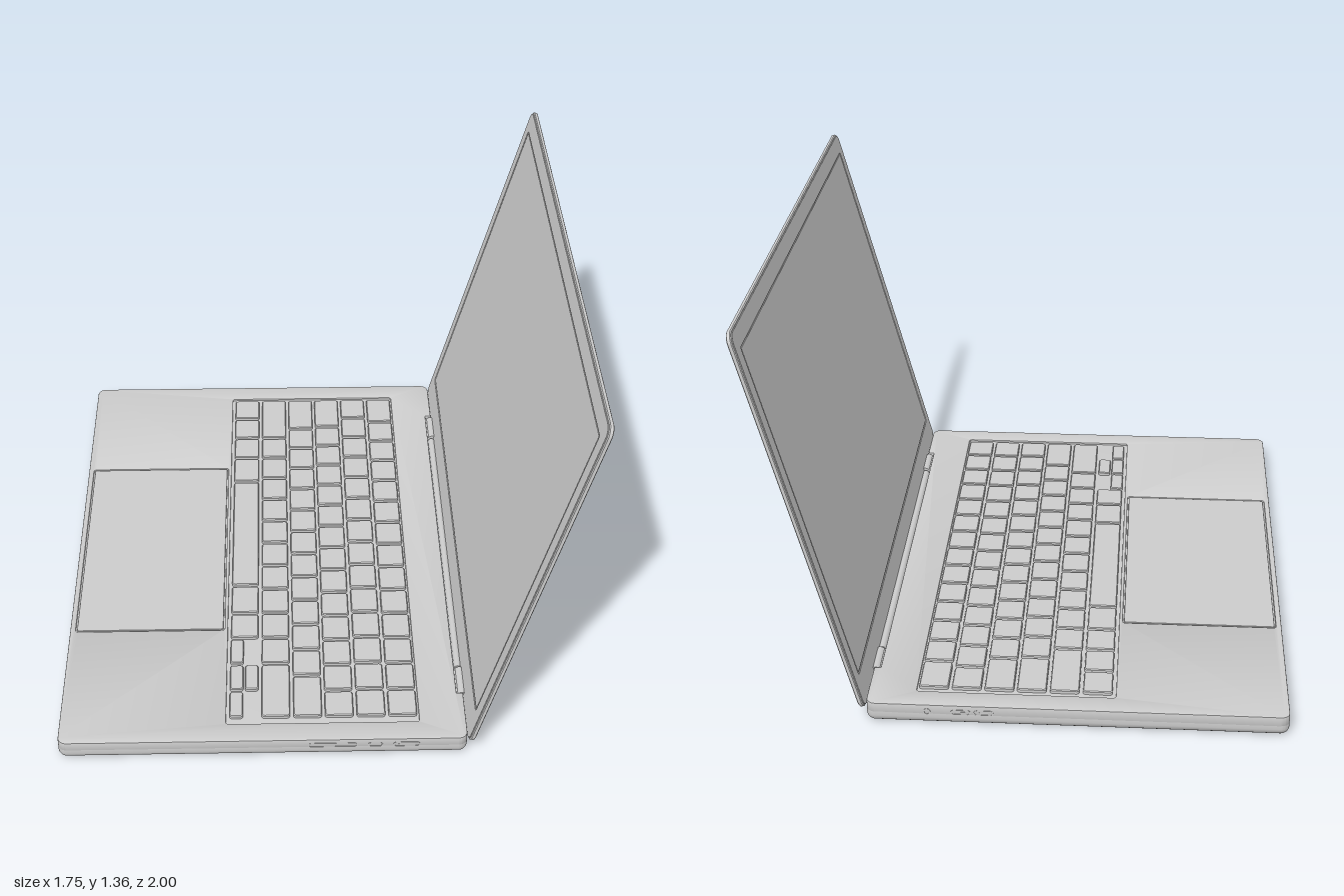
import * as THREE from 'three';
import { toCreasedNormals } from 'three/addons/utils/BufferGeometryUtils.js';

const grey = new THREE.MeshStandardMaterial({ color: 0xcccccc });

function add(parent, name, geometry, x = 0, y = 0, z = 0) {
  const mesh = new THREE.Mesh(geometry, grey);
  mesh.name = name;
  mesh.position.set(x, y, z);
  parent.add(mesh);
  return mesh;
}

// Rounded rectangle centred on (cx, cy)
function roundRect(cx, cy, w, h, r, Type = THREE.Shape) {
  const s = new Type(), a = w / 2 - r, b = h / 2 - r;
  s.absarc(cx + a, cy + b, r, 0, Math.PI / 2);
  s.absarc(cx - a, cy + b, r, Math.PI / 2, Math.PI);
  s.absarc(cx - a, cy - b, r, Math.PI, Math.PI * 1.5);
  s.absarc(cx + a, cy - b, r, Math.PI * 1.5, Math.PI * 2);
  s.closePath();
  return s;
}

// Flat slab from y0 to y1 with bevelled rims
function slab(shape, y0, y1, bevel, segments = 2, curveSegments = 5) {
  const g = new THREE.ExtrudeGeometry(shape, {
    depth: y1 - y0 - 2 * bevel, bevelEnabled: bevel > 0, bevelSize: bevel,
    bevelThickness: bevel, bevelOffset: -bevel, bevelSegments: segments, curveSegments,
  });
  g.translate(0, 0, bevel).rotateX(-Math.PI / 2).translate(0, y0, 0);
  return toCreasedNormals(g, 0.6);
}

// Stack of rounded rectangles, each layer given as [inset, height]
function loft(cx, w, d, r, layers) {
  const pos = [], index = [];
  let n = 0;
  for (const [inset, y] of layers) {
    const pts = roundRect(cx, 0, w - 2 * inset, d - 2 * inset, Math.max(r - inset, 0.012)).getPoints(6);
    if (pts[0].distanceTo(pts[pts.length - 1]) < 1e-6) pts.pop();
    n = pts.length;
    pts.forEach((p) => pos.push(p.x, y, -p.y));
  }
  const last = layers.length - 1;
  for (let k = 0; k < last; k++) {
    for (let i = 0; i < n; i++) {
      const a = k * n + i, b = k * n + (i + 1) % n;
      index.push(a, b, b + n, a, b + n, a + n);
    }
  }
  for (let i = 1; i < n - 1; i++) {
    index.push(0, i + 1, i);
    index.push(last * n, last * n + i, last * n + i + 1);
  }
  const g = new THREE.BufferGeometry();
  g.setAttribute('position', new THREE.Float32BufferAttribute(pos, 3));
  g.setIndex(index);
  return toCreasedNormals(g, 0.5);
}

// Base outline with a notch for the hinge along the rear edge
function baseOutline() {
  const x0 = -0.875, x1 = 0.5, notch = 0.478, r = 0.03, e = 0.79;
  const s = new THREE.Shape();
  s.absarc(x0 + r, -1 + r, r, Math.PI, Math.PI * 1.5);
  s.absarc(x1 - r, -1 + r, r, -Math.PI / 2, 0);
  s.lineTo(x1, -e);
  s.lineTo(notch, -e);
  s.lineTo(notch, e);
  s.lineTo(x1, e);
  s.absarc(x1 - r, 1 - r, r, 0, Math.PI / 2);
  s.absarc(x0 + r, 1 - r, r, Math.PI / 2, Math.PI);
  s.closePath();
  return s;
}

function buildBase(root) {
  const base = new THREE.Group();
  base.name = 'base';
  root.add(base);
  add(base, 'lowerCase', slab(baseOutline(), 0, 0.065, 0.025, 5));

  // Deck with openings for the keyboard and the trackpad
  const deck = baseOutline();
  deck.holes.push(roundRect(0.015, 0, 0.655, 1.84, 0.01, THREE.Path));
  deck.holes.push(roundRect(-0.59, 0, 0.532, 0.924, 0.01, THREE.Path));
  add(base, 'deck', slab(deck, 0.036, 0.072, 0.003));
  add(base, 'trackpad', slab(roundRect(-0.59, 0, 0.522, 0.914, 0.008), 0.06, 0.0715, 0.001, 1));

  // Ports: raised stadium rims on both sides, [centre x, width, height]
  const port = (side, [x, w, h]) => {
    const rim = roundRect(0, 0, w, h, h / 2 - 0.0001);
    rim.holes.push(roundRect(0, 0, w - 0.008, h - 0.008, h / 2 - 0.0042, THREE.Path));
    const g = new THREE.ExtrudeGeometry(rim, { depth: 0.004, bevelEnabled: false, curveSegments: 6 });
    const mesh = add(base, 'portRim', g, x, 0.047, side * 0.9975);
    if (side < 0) mesh.rotation.y = Math.PI;
    if (w > 0.06 && w < 0.12) {
      add(base, 'portTongue', new THREE.BoxGeometry(w - 0.035, 0.005, 0.004), x, 0.047, side * 0.999);
    }
  };
  [[0.047, 0.165, 0.02], [0.19, 0.05, 0.02], [0.295, 0.09, 0.022]].forEach((p) => port(1, p));
  [[0.3, 0.024, 0.0239], [0.19, 0.065, 0.02], [0.115, 0.065, 0.02]].forEach((p) => port(-1, p));
  return base;
}

function buildKeyboard(root) {
  const keyboard = new THREE.Group();
  keyboard.name = 'keyboard';
  root.add(keyboard);
  const ones = (n) => Array(n).fill(1);
  const key = (x, z, w, d) =>
    add(keyboard, 'key', slab(roundRect(0, 0, w, d, 0.01), 0.06, 0.078, 0.003, 1, 2), x, 0, z);

  // Rows from the space bar to the function keys: [centre x, key widths in units]
  const rows = [
    [-0.252, [1, 1, 1, 1.15, 4.7, 1.15, 1, 1, 1, 1]],
    [-0.143, [2, ...ones(10), 2]],
    [-0.035, [1.55, ...ones(11), 1.55]],
    [0.072, [1.5, ...ones(13)]],
    [0.18, ones(14)],
    [0.288, [1.25, ...ones(13)]],
  ];
  rows.forEach(([x, widths], row) => {
    const unit = 1.803 / widths.reduce((a, b) => a + b);
    let z = -0.905;
    widths.forEach((w, i) => {
      const d = w * unit, mid = z + d / 2;
      z += d;
      if (row === 0 && i > 6) {
        // Half-size arrow keys
        key(x - 0.026, mid, 0.046, d - 0.013);
        if (i === 8) key(x + 0.026, mid, 0.046, d - 0.013);
      } else key(x, mid, 0.097, d - 0.013);
    });
  });
}

function buildLid(root) {
  const lid = new THREE.Group();
  lid.name = 'lid';
  lid.position.set(0.503, 0.044, 0);
  lid.rotation.z = -0.261;
  root.add(lid);
  const H = 1.367;
  // Stand a flat part upright, its thickness pointing backwards
  const upright = (g) => g.rotateX(Math.PI).rotateZ(Math.PI / 2);

  // Shell with a softly crowned back
  add(lid, 'lidShell', upright(loft(H / 2, H, 2, 0.035, [
    [0.003, 0], [0, 0.003], [0, 0.013], [0.004, 0.016], [0.12, 0.024], [0.26, 0.03],
  ])));

  // Bezel around the recessed screen
  const bezel = roundRect(H / 2, 0, H - 0.012, 1.988, 0.03);
  bezel.holes.push(roundRect(0.7, 0, 1.2, 1.89, 0.008, THREE.Path));
  add(lid, 'bezel', upright(slab(bezel, -0.003, 0.001, 0)));
  add(lid, 'screen', upright(slab(roundRect(0.7, 0, 1.188, 1.878, 0.006), -0.002, 0.001, 0)));
}

function buildHinge(root) {
  const hinge = new THREE.Group();
  hinge.name = 'hinge';
  root.add(hinge);
  const barrel = (name, r, length, x, z) =>
    add(hinge, name, new THREE.CylinderGeometry(r, r, length, 20).rotateX(Math.PI / 2), x, 0.05, z);
  barrel('hingeCover', 0.013, 1.3, 0.494, 0);
  for (const side of [-1, 1]) {
    barrel('hingeBarrel', 0.018, 0.125, 0.498, side * 0.722);
    add(hinge, 'hingeArm', new THREE.BoxGeometry(0.03, 0.022, 0.125), 0.483, 0.05, side * 0.722);
  }
}

export function createModel() {
  const root = new THREE.Group();
  root.name = 'laptop';
  buildBase(root);
  buildKeyboard(root);
  buildLid(root);
  buildHinge(root);
  return root;
}
